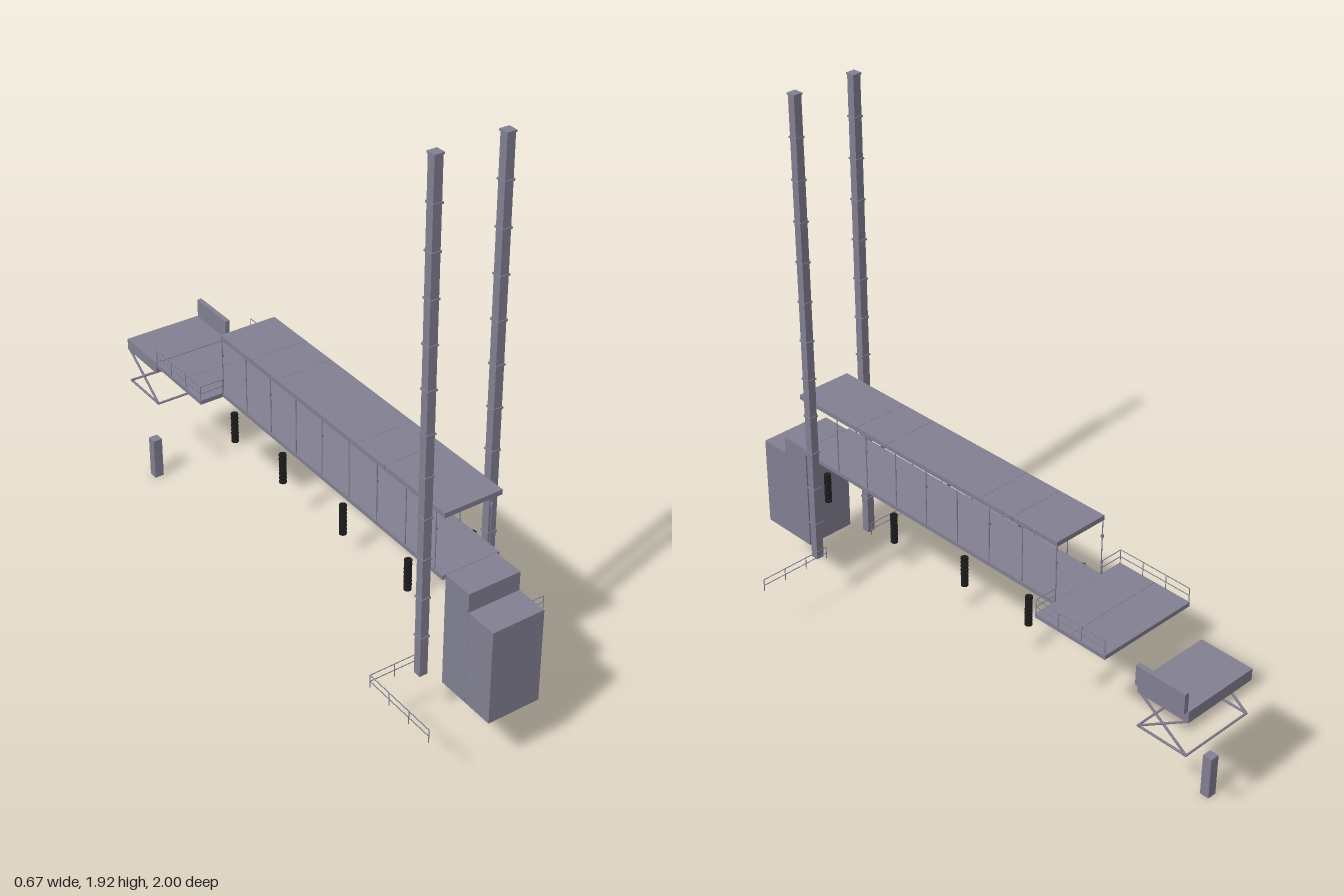
import * as THREE from 'three';

export function createModel() {
  const model = new THREE.Group();
  const material = (name, color) => {
    const m = new THREE.MeshStandardMaterial({ color });
    m.name = name;
    return m;
  };
  const grey = material('slateGrey', 0x828092);
  const black = material('nearBlack', 0x1a1a1c);

  const group = (name) => {
    const g = new THREE.Group();
    g.name = name;
    model.add(g);
    return g;
  };
  // Box given by its minimum and maximum corners
  const box = (name, [x0, y0, z0], [x1, y1, z1], parent = model) => {
    const m = new THREE.Mesh(new THREE.BoxGeometry(x1 - x0, y1 - y0, z1 - z0), grey);
    m.position.set((x0 + x1) / 2, (y0 + y1) / 2, (z0 + z1) / 2);
    m.name = name;
    parent.add(m);
  };
  // Round bar between two points
  const bar = (name, a, b, r, parent, sides = 6, mat = grey) => {
    const p = new THREE.Vector3(...a), q = new THREE.Vector3(...b);
    const m = new THREE.Mesh(new THREE.CylinderGeometry(r, r, p.distanceTo(q), sides), mat);
    m.position.copy(p).add(q).multiplyScalar(0.5);
    m.quaternion.setFromUnitVectors(new THREE.Vector3(0, 1, 0), q.sub(p).normalize());
    m.name = name;
    parent.add(m);
  };
  // Row of slabs along z with hairline seams at the given positions
  const slabs = (name, x0, x1, y0, y1, zs, parent) => {
    for (let i = 0; i < zs.length - 1; i++) {
      box(name, [x0, y0, zs[i + 1] + 0.0004], [x1, y1, zs[i] - 0.0004], parent);
    }
  };
  // Handrail run: top rail, middle rail and evenly spaced posts
  const railing = (x0, z0, x1, z1, y, h, n, parent) => {
    for (const f of [0.5, 1]) bar('rail', [x0, y + h * f, z0], [x1, y + h * f, z1], 0.0015, parent);
    for (let i = 0; i <= n; i++) {
      const x = x0 + (x1 - x0) * i / n, z = z0 + (z1 - z0) * i / n;
      bar('railPost', [x, y, z], [x, y + h, z], 0.0015, parent);
    }
  };

  // Stepped block at the front
  box('lowerBlock', [-0.142, 0.196, 0.8875], [0.045, 0.53, 1]);
  box('upperBlock', [-0.142, 0.196, 0.777], [0.045, 0.596, 0.887]);

  // Covered walkway
  const walkway = group('walkway');
  box('deck', [-0.153, 0.581, -0.42], [0.056, 0.596, 0.776], walkway);
  slabs('roofPanel', -0.153, 0.056, 0.8, 0.817, [0.777, 0.485, 0.342, -0.091, -0.235, -0.424], walkway);
  for (const x of [-0.15, 0.053]) {
    for (let i = 0; i < 9; i++) {
      const z = 0.735 - i * 0.1445;
      bar('roofPost', [x, 0.596, z], [x, 0.8, z], 0.0018, walkway);
      if (i % 2 === 0) box('postFitting', [x - 0.003, 0.736, z - 0.004], [x + 0.003, 0.746, z + 0.004], walkway);
    }
  }
  for (const z of [0.483, -0.115]) {
    box('ceilingLamp', [-0.06, 0.796, z - 0.037], [-0.037, 0.8, z + 0.037], walkway);
  }

  // Wide rear platform, open at the back
  const platform = group('rearPlatform');
  slabs('platformDeck', -0.239, 0.141, 0.581, 0.596, [-0.42, -0.567, -0.709], platform);
  for (const [outer, inner] of [[-0.237, -0.153], [0.139, 0.056]]) {
    railing(outer, -0.706, outer, -0.423, 0.596, 0.051, 3, platform);
    railing(outer, -0.423, inner, -0.423, 0.596, 0.051, 1, platform);
  }

  // Two tall masts with collars
  for (const [name, x] of [['rightMast', -0.169], ['leftMast', 0.069]]) {
    const mast = group(name);
    const z = 0.707;
    box('mastColumn', [x - 0.0145, 0.196, z - 0.0145], [x + 0.0145, 1.914, z + 0.0145], mast);
    for (let i = 0; i < 11; i++) {
      const y = 0.34 + i * 0.1435;
      box('collar', [x - 0.0175, y - 0.003, z - 0.0175], [x + 0.0175, y + 0.003, z + 0.0175], mast);
    }
    box('mastCap', [x - 0.017, 1.914, z - 0.017], [x + 0.017, 1.92, z + 0.017], mast);
  }

  // Ground railings beside the masts
  const fence = group('groundRailing');
  railing(-0.333, 0.675, -0.153, 0.675, 0.196, 0.047, 2, fence);
  railing(-0.333, 0.675, -0.333, 0.965, 0.196, 0.047, 3, fence);
  railing(0.056, 0.675, 0.333, 0.675, 0.196, 0.047, 3, fence);

  // Dark ribbed columns hanging along both sides of the walkway
  for (const x of [-0.169, 0.07]) for (const z of [0.632, 0.297, -0.038, -0.325]) {
    const column = group('ribbedColumn');
    bar('columnCore', [x, 0.463, z], [x, 0.571, z], 0.006, column, 8, black);
    for (let i = 0; i < 8; i++) {
      const y = 0.464 + i * 0.0145;
      bar('rib', [x, y, z], [x, y + 0.007, z], 0.0125, column, 12, black);
    }
  }

  // Scissor-legged table with an end panel
  const table = group('scissorTable');
  box('tableTop', [-0.19, 0.491, -1], [0.097, 0.533, -0.803], table);
  box('endPanel', [0.096, 0.53, -0.995], [0.113, 0.602, -0.806], table);
  for (const x of [-0.185, 0.091]) {
    bar('scissorLeg', [x, 0.363, -0.997], [x, 0.493, -0.807], 0.004, table);
    bar('scissorLeg', [x, 0.363, -0.807], [x, 0.493, -0.997], 0.004, table);
    bar('baseBar', [x, 0.363, -0.998], [x, 0.363, -0.805], 0.004, table);
  }
  for (const z of [-0.996, -0.807]) bar('crossBar', [-0.185, 0.363, z], [0.091, 0.363, z], 0.004, table);

  // Separate short pillar below the table
  box('pillar', [-0.172, 0, -0.917], [-0.138, 0.156, -0.883]);

  return model;
}
